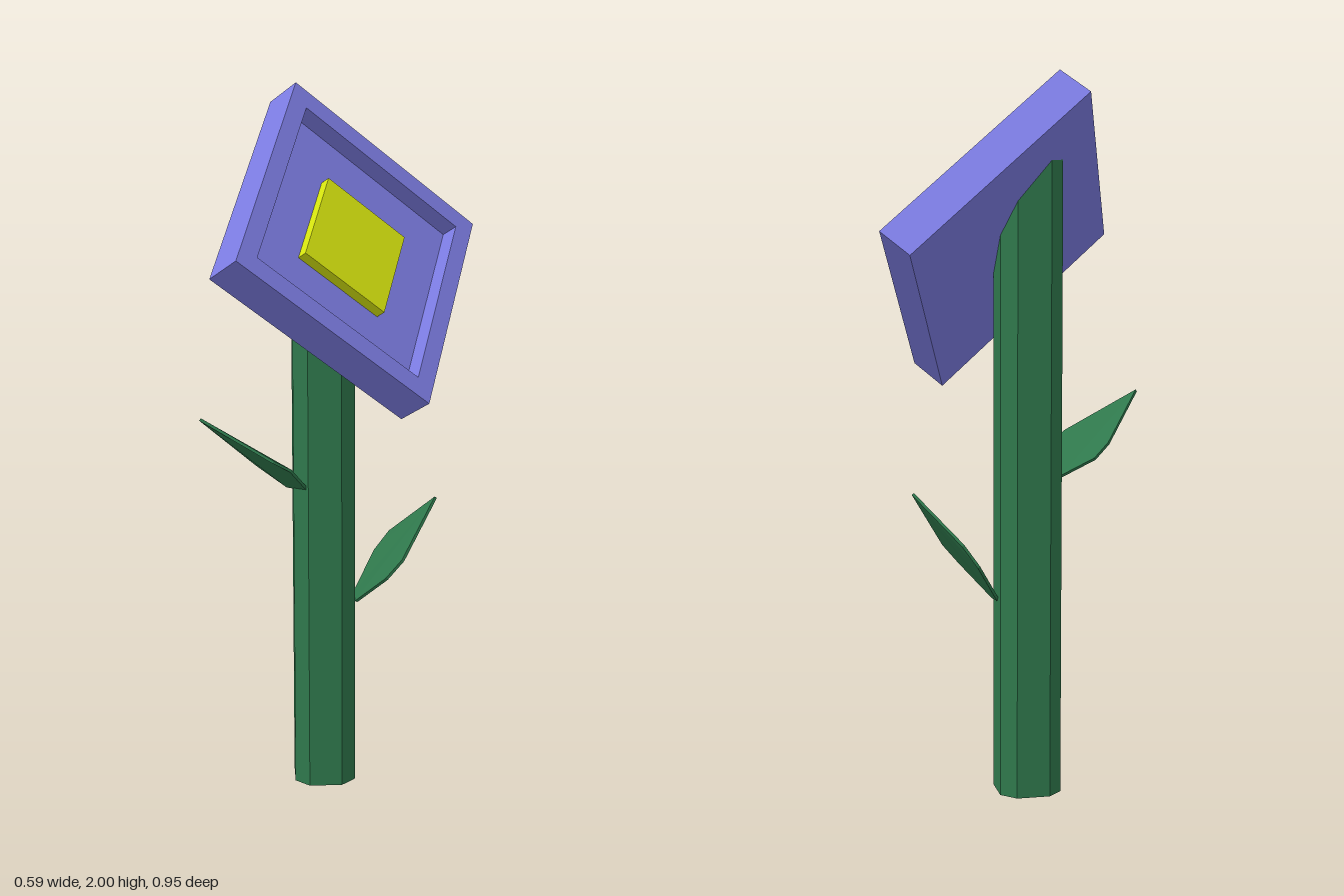
import * as THREE from 'three';

const GREEN = 0x2f784c, PURPLE = 0x7c7ce2, YELLOW = 0xd6e40f;

function part(name, geometry, color, parent) {
  const mesh = new THREE.Mesh(geometry, new THREE.MeshStandardMaterial({ color, flatShading: true }));
  mesh.name = name;
  parent.add(mesh);
  return mesh;
}

const shapeOf = (pts) => new THREE.Shape(pts.map(([x, y]) => new THREE.Vector2(x, y)));
const square = (r) => [[r, 0], [0, r], [-r, 0], [0, -r]]; // r is half the diagonal

function diamond(r, z, depth, holeR) {
  const shape = shapeOf(square(r));
  if (holeR) shape.holes.push(shapeOf(square(holeR)));
  return new THREE.ExtrudeGeometry(shape, { depth, bevelEnabled: false }).translate(0, 0, z);
}

// Thin prism around an outline of corners lying roughly in one plane
function leafGeometry(outline, thickness) {
  const pts = outline.map((p) => new THREE.Vector3(...p));
  const count = pts.length;
  const normal = new THREE.Vector3();
  pts.forEach((p, i) => normal.add(new THREE.Vector3().crossVectors(p, pts[(i + 1) % count])));
  normal.setLength(thickness / 2);
  const top = pts.map((p) => p.clone().add(normal));
  const bottom = pts.map((p) => p.clone().sub(normal));
  const tris = [];
  for (let i = 0; i < count; i++) {
    const j = (i + 1) % count;
    if (i > 0 && j > 0) tris.push(top[0], top[i], top[j], bottom[0], bottom[j], bottom[i]);
    tris.push(bottom[i], bottom[j], top[j], bottom[i], top[j], top[i]);
  }
  const geometry = new THREE.BufferGeometry().setFromPoints(tris);
  geometry.computeVertexNormals();
  return geometry;
}

// Eight-sided stem whose top is sliced to meet the tilted head
function stemGeometry() {
  const w = 0.094, c = 0.028;
  const section = [[w, -c], [w, c], [c, w], [-c, w], [-w, c], [-w, -c], [-c, -w], [c, -w]];
  const geometry = new THREE.ExtrudeGeometry(shapeOf(section), { depth: 1, bevelEnabled: false });
  geometry.rotateX(-Math.PI / 2).translate(-0.094, 0, 0.001);
  const pos = geometry.attributes.position;
  for (let i = 0; i < pos.count; i++) {
    if (pos.getY(i) > 0.5) pos.setY(i, 1.56 - 1.647 * (pos.getX(i) + 0.049));
  }
  geometry.computeVertexNormals();
  return geometry;
}

export function createModel() {
  const model = new THREE.Group();
  model.name = 'flower';

  part('stem', stemGeometry(), GREEN, model);

  // Leaves, each listed from the tip round the outline
  part('upperLeaf', leafGeometry([
    [-0.25, 1.11, 0.33], [-0.26, 0.98, 0.16], [-0.24, 0.94, 0.12], [-0.15, 0.887, 0.09],
    [-0.075, 0.893, 0.09], [-0.066, 0.963, 0.165], [-0.085, 0.995, 0.215],
  ], 0.008), GREEN, model);
  part('lowerLeaf', leafGeometry([
    [0.152, 0.85, -0.2], [-0.005, 0.72, -0.185], [-0.04, 0.66, -0.16], [-0.04, 0.55, -0.065],
    [0, 0.547, -0.032], [0.106, 0.636, -0.042], [0.138, 0.69, -0.075],
  ], 0.008), GREEN, model);

  // Square head facing left and upward, origin at the middle of its front
  const head = new THREE.Group();
  head.name = 'flowerHead';
  head.position.set(0.0475, 1.592, 0);
  head.rotation.set(-0.546, Math.PI / 2, -0.02, 'YXZ');
  model.add(head);
  part('petalRim', diamond(0.477, -0.053, 0.053, 0.4), PURPLE, head);
  part('petalBack', diamond(0.477, -0.113, 0.06), PURPLE, head);
  part('flowerCentre', diamond(0.2, -0.06, 0.037), YELLOW, head);

  return model;
}
